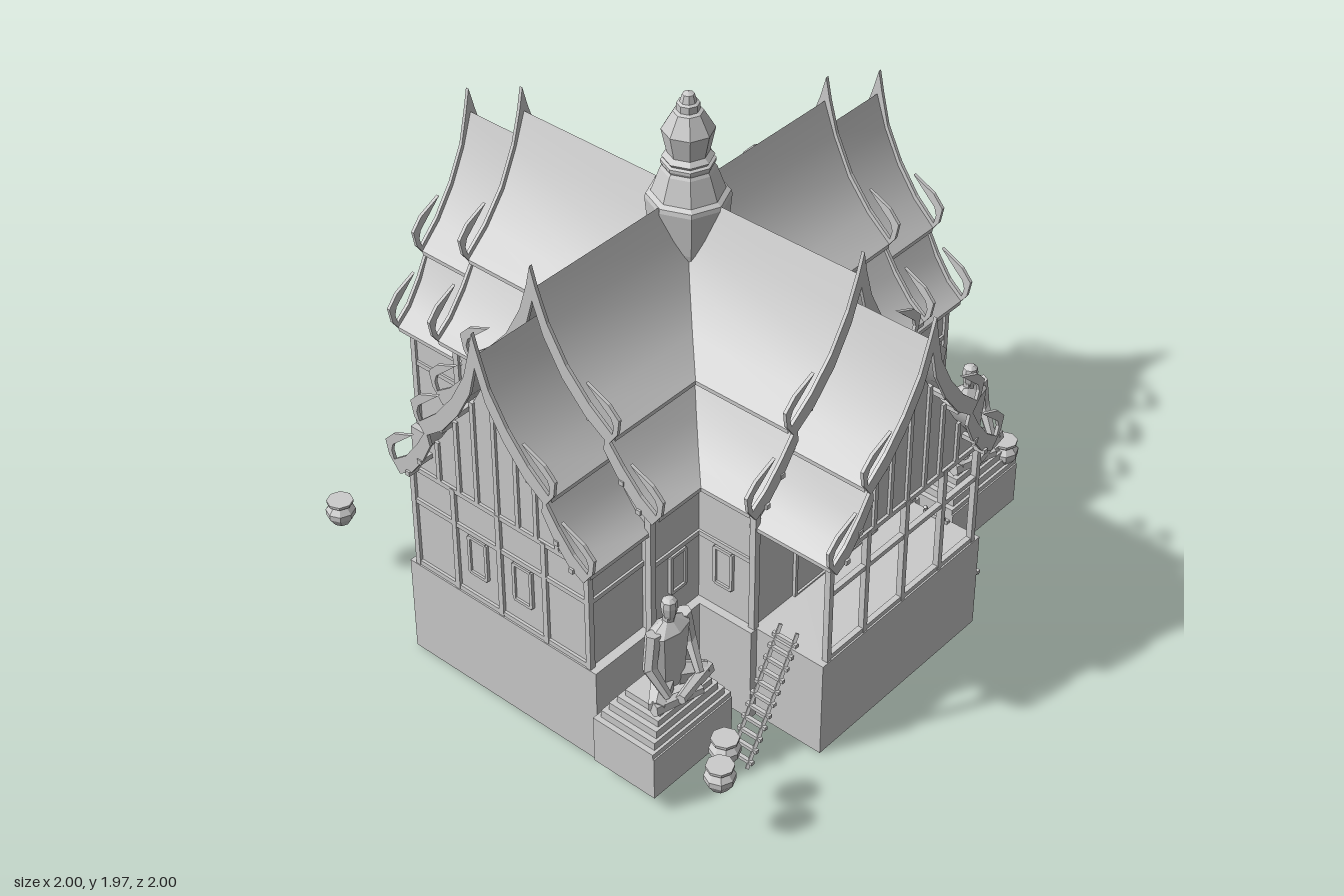
import * as THREE from 'three';
import { toCreasedNormals } from 'three/addons/utils/BufferGeometryUtils.js';

const smooth = new THREE.MeshStandardMaterial({ color: 0xcccccc, side: THREE.DoubleSide });
const flat = new THREE.MeshStandardMaterial({ color: 0xcccccc, flatShading: true, side: THREE.DoubleSide });

function add(parent, name, geometry, material = flat) {
  const mesh = new THREE.Mesh(geometry, material);
  mesh.name = name;
  parent.add(mesh);
  return mesh;
}

// Box given by its limits on each axis
function block(parent, name, x0, x1, y0, y1, z0, z1) {
  const g = new THREE.BoxGeometry(x1 - x0, y1 - y0, z1 - z0);
  return add(parent, name, g.translate((x0 + x1) / 2, (y0 + y1) / 2, (z0 + z1) / 2));
}

// Hollow base from the centre outwards: two sides, a top and an outer end
const FLOOR = 0.385;
function hollowBase(parent, name, halfWidth, end) {
  const g = block(parent, name, -halfWidth, halfWidth, 0, FLOOR, 0, end).geometry;
  const faces = Array.from(g.index.array);
  g.clearGroups();
  g.setIndex([...faces.slice(0, 18), ...faces.slice(24, 30)]);
}

// Tapered rod between two points
function limb(parent, name, a, b, ra, rb, sides = 6) {
  const p = new THREE.Vector3(...a), q = new THREE.Vector3(...b);
  const m = add(parent, name, new THREE.CylinderGeometry(rb, ra, p.distanceTo(q), sides));
  m.position.copy(p).lerp(q, 0.5);
  m.quaternion.setFromUnitVectors(new THREE.Vector3(0, 1, 0), q.sub(p).normalize());
}

function extrude(points, depth) {
  const shape = new THREE.Shape(points.map(([x, y]) => new THREE.Vector2(x, y)));
  return new THREE.ExtrudeGeometry(shape, { depth, bevelEnabled: false });
}

// Half profiles of the two roof sizes, each with an upper and a lower tier
const TALL = {
  upper: [[0, 1.59], [0.05, 1.47], [0.12, 1.34], [0.21, 1.235], [0.31, 1.155]],
  lower: [[0.28, 1.14], [0.34, 1.045], [0.41, 0.965], [0.48, 0.915]],
  wall: 0.42, eave: 0.91, lean: 0.04,
};
const SMALL = {
  upper: [[0, 1.48], [0.045, 1.36], [0.11, 1.24], [0.19, 1.135], [0.28, 1.055]],
  lower: [[0.255, 1.035], [0.3, 0.945], [0.36, 0.865], [0.425, 0.815]],
  wall: 0.385, eave: 0.81, lean: 0.04,
};
const mirror = pts => pts.map(([x, y]) => [-x, y]).reverse();

// Curved roof sheet; its inner end follows the 45 degree valley
function roofSheet(parent, name, top, start, end, size) {
  const ring = [...top, ...top.slice().reverse().map(([x, y]) => [x, y - 0.015])];
  const pos = [], index = [], n = ring.length;
  for (const [x, y] of ring) {
    pos.push(x, y, Math.max(start, Math.abs(x)));
    pos.push(x, y, end + size.lean * (y - size.eave));
  }
  for (let i = 0; i < n; i++) {
    const a = 2 * i, b = 2 * ((i + 1) % n);
    index.push(a, a + 1, b, b, a + 1, b + 1);
  }
  const g = new THREE.BufferGeometry();
  g.setAttribute('position', new THREE.Float32BufferAttribute(pos, 3));
  g.setIndex(index);
  add(parent, name, toCreasedNormals(g, 0.6), smooth);
}

// Gable board with an upturned hook at its foot
const HOOK = [[0, 0.02], [0.008, 0.055], [-0.002, 0.085], [-0.035, 0.115], [-0.1, 0.175],
  [-0.01, 0.135], [0.032, 0.09], [0.022, 0.03], [-0.02, -0.03]];
function gableBoard(parent, profile, end, size, finial) {
  const [ex, ey] = profile[profile.length - 1];
  const body = profile.slice(0, -1);
  const first = finial
    ? [[0, profile[0][1] + 0.09], [0.02, profile[0][1] + 0.01]]
    : [[body[0][0], body[0][1] + 0.015]];
  const outline = [...first,
    ...body.slice(1).map(([x, y]) => [x + 0.008, y + 0.015]),
    ...HOOK.map(([x, y]) => [ex + x, ey + y]),
    ...body.slice().reverse().map(([x, y]) => [Math.max(0, x - 0.012), y - 0.045])];
  for (const s of [1, -1]) {
    const g = extrude(outline.map(([x, y]) => [s * x, y]), 0.012);
    const p = g.attributes.position;
    for (let i = 0; i < p.count; i++) p.setZ(i, p.getZ(i) + end + size.lean * (p.getY(i) - size.eave));
    add(parent, 'gableBoard', g);
  }
}

// Two-tiered roof with boards and purlin ends
function roof(parent, size, start, end) {
  const { upper, lower } = size;
  roofSheet(parent, 'upperRoof', [...mirror(upper.slice(1)), ...upper], start, end, size);
  roofSheet(parent, 'lowerRoof', lower, start, end, size);
  roofSheet(parent, 'lowerRoof', mirror(lower), start, end, size);
  gableBoard(parent, upper, end, size, true);
  gableBoard(parent, lower, end, size, false);
  for (const [x, y] of [...upper.slice(2, 4), ...lower.slice(1, 3)])
    for (const s of [1, -1])
      block(parent, 'purlinEnd', s * x - 0.009, s * x + 0.009, y - 0.06, y - 0.042, end - 0.06, end + 0.02);
}

// Wall body whose top follows the underside of the roof
function gableBody(parent, name, size, bottom, z0, z1) {
  const half = [[size.wall, bottom], [size.wall, size.eave + 0.005],
    ...[size.lower[0], ...size.upper.slice(1, 4).reverse(), size.upper[0]].map(([x, y]) => [x - (x ? 0.015 : 0), y - 0.035])];
  add(parent, name, extrude([...half, ...mirror(half.slice(0, -1))], z1 - z0).translate(0, 0, z0));
}

// Raised rectangular frame with a panel, facing +z
function framed(parent, name, x, y0, y1, w, z) {
  const g = new THREE.Group();
  g.name = name;
  parent.add(g);
  const h = w / 2, t = 0.012;
  block(g, 'panel', x - h, x + h, y0, y1, z - 0.01, z + 0.004);
  for (const s of [1, -1]) block(g, 'jamb', x + s * h - t / 2, x + s * h + t / 2, y0, y1, z - 0.01, z + 0.012);
  for (const y of [y0, y1]) block(g, 'rail', x - h, x + h, y - t / 2, y + t / 2, z - 0.01, z + 0.012);
}

function arm(inner, tip, open) {
  const g = new THREE.Group();
  g.name = open ? 'porchWing' : 'wing';
  const innerWall = inner - 0.055, wall = tip - 0.07;
  // Stone base
  hollowBase(g, 'base', 0.42, tip - 0.055);
  hollowBase(g, 'innerBase', 0.45, innerWall + 0.015);
  // Walls and roofs
  gableBody(g, 'innerWalls', TALL, FLOOR, 0, innerWall);
  roof(g, TALL, 0, inner - 0.03);
  gableBody(g, 'outerWalls', SMALL, open ? 0.8 : FLOOR, open ? wall - 0.02 : innerWall - 0.02, wall);
  roof(g, SMALL, innerWall - 0.02, tip - 0.037);
  // Timber framing of the gable
  for (const x of [-0.385, -0.2, 0, 0.2, 0.385])
    block(g, 'post', x - 0.01, x + 0.01, FLOOR, 0.81, wall - 0.01, wall + 0.012);
  for (const y of [FLOOR + 0.01, 0.665, 0.805])
    block(g, 'beam', -0.39, 0.39, y - 0.009, y + 0.009, wall - 0.01, wall + 0.01);
  for (const [x, y] of [[0, 1.42], [0.09, 1.22], [0.17, 1.1], [0.26, 0.97]])
    for (const s of x ? [1, -1] : [1])
      block(g, 'batten', s * x - 0.008, s * x + 0.008, 0.8, y, wall - 0.01, wall + 0.01);
  for (const s of [1, -1]) {
    // Doors behind the porch, or windows in the closed gable
    if (open) framed(g, 'door', s * 0.12, FLOOR, 0.73, 0.19, innerWall);
    else framed(g, 'window', s * 0.1, 0.495, 0.645, 0.075, wall);
    // Side walls of the inner part
    const side = new THREE.Group();
    side.name = 'sideWall';
    side.rotation.y = s * Math.PI / 2;
    g.add(side);
    framed(side, 'window', -s * 0.53, 0.495, 0.645, 0.07, 0.42);
    block(g, 'cornerPost', s * 0.42 - 0.012, s * 0.42 + 0.012, FLOOR, 0.91, innerWall - 0.012, innerWall + 0.012);
    block(g, 'sideBeam', s * 0.42 - 0.008, s * 0.42 + 0.008, 0.655, 0.673, 0.42, innerWall);
    if (!open) block(g, 'sideBeam', s * 0.385 - 0.008, s * 0.385 + 0.008, 0.655, 0.673, innerWall, wall);
    else block(g, 'porchPlate', s * 0.385 - 0.01, s * 0.385 + 0.01, 0.8, 0.82, innerWall, wall);
  }
  return g;
}

const lathe = profile => new THREE.LatheGeometry(profile.map(([r, y]) => new THREE.Vector2(r, y)), 8);

// Seated figure on a stepped plinth
function shrine() {
  const g = new THREE.Group();
  g.name = 'shrine';
  block(g, 'plinth', -0.19, 0.19, 0.06, 0.23, -0.16, 0.1);
  [[0.19, 0.23, 0.25], [0.17, 0.25, 0.28], [0.15, 0.28, 0.31], [0.13, 0.31, 0.335], [0.11, 0.335, 0.36]]
    .forEach(([w, y0, y1], i) => block(g, 'step', -w, w, y0, y1, -0.16 + i * 0.017, 0.095 - i * 0.01));
  const torso = add(g, 'torso', new THREE.CylinderGeometry(0.085, 0.062, 0.23, 8).translate(0, 0.495, -0.005));
  torso.scale.z = 0.58;
  const shoulders = add(g, 'shoulders', new THREE.CylinderGeometry(0.028, 0.088, 0.035, 8).translate(0, 0.627, -0.005));
  shoulders.scale.z = 0.55;
  limb(g, 'neck', [0, 0.63, -0.005], [0, 0.67, 0], 0.021, 0.021);
  add(g, 'head', lathe([[0.018, 0.652], [0.024, 0.67], [0.028, 0.7], [0.025, 0.722], [0.012, 0.733], [0, 0.735]]));
  for (const s of [1, -1]) {
    limb(g, 'upperArm', [s * 0.072, 0.625, -0.005], [s * 0.095, 0.49, 0], 0.026, 0.024);
    limb(g, 'forearm', [s * 0.096, 0.5, 0], [s * 0.075, 0.4, 0.06], 0.024, 0.016);
    limb(g, 'thigh', [s * 0.035, 0.39, 0], [s * 0.12, 0.375, 0.05], 0.042, 0.03);
    limb(g, 'shin', [s * 0.13, 0.375, 0.045], [-s * 0.05, 0.375 + s * 0.012, 0.09], 0.028, 0.018);
  }
  return g;
}

// Ladder leaning towards the porch, for the +x side
function ladder() {
  const g = new THREE.Group();
  g.name = 'ladder';
  for (const z of [-0.035, 0.035]) limb(g, 'rail', [0.63, 0, z], [0.385, 0.425, z], 0.008, 0.008, 4);
  for (let i = 0; i < 11; i++) {
    const t = (i + 0.6) / 11.5, x = 0.63 - 0.245 * t, y = 0.425 * t;
    block(g, 'rung', x - 0.007, x + 0.007, y - 0.007, y + 0.007, -0.05, 0.05);
  }
  return g;
}

export function createModel() {
  const model = new THREE.Group();
  model.name = 'temple';
  const hall = new THREE.Group();
  hall.name = 'hall';
  hall.position.set(-0.02, 0, -0.01);
  model.add(hall);

  // Four wings: front, left, back, right
  [[0.71, 1.0], [0.71, 1.01], [0.72, 0.985], [0.71, 0.975]].forEach(([inner, tip], i) => {
    const wing = arm(inner, tip, i === 0);
    wing.rotation.y = i * Math.PI / 2;
    hall.add(wing);
  });

  // Central spire
  add(hall, 'spire', lathe([[0.1, 1.3], [0.128, 1.42], [0.142, 1.575], [0.138, 1.59], [0.122, 1.6], [0.092, 1.685],
    [0.085, 1.695], [0.09, 1.705], [0.09, 1.715], [0.08, 1.72], [0.086, 1.73], [0.07, 1.745], [0.088, 1.83],
    [0.05, 1.895], [0.038, 1.9], [0.038, 1.925], [0.028, 1.93], [0.02, 1.957], [0, 1.965]])).position.z = 0.01;

  // Ladders on both sides of the porch
  for (const s of [0, 1]) {
    const l = ladder();
    l.position.set(-0.02, 0, 0.765);
    l.rotation.y = s * Math.PI;
    model.add(l);
  }

  // Shrines flanking the front
  for (const x of [-0.8, 0.77]) {
    const s = shrine();
    s.position.set(x, 0, 0.6);
    model.add(s);
  }

  // Scattered jars
  const jar = lathe([[0, 0.24], [0.03, 0.24], [0.052, 0.275], [0.052, 0.295], [0.035, 0.315], [0.047, 0.325], [0.047, 0.335], [0, 0.335]]);
  for (const [x, z] of [[-0.845, -0.88], [0.925, -0.56], [0.825, -0.495], [-0.845, 0.87], [-0.945, 0.935], [0.93, 0.66]])
    add(model, 'jar', jar).position.set(x, 0, z);

  return model;
}
